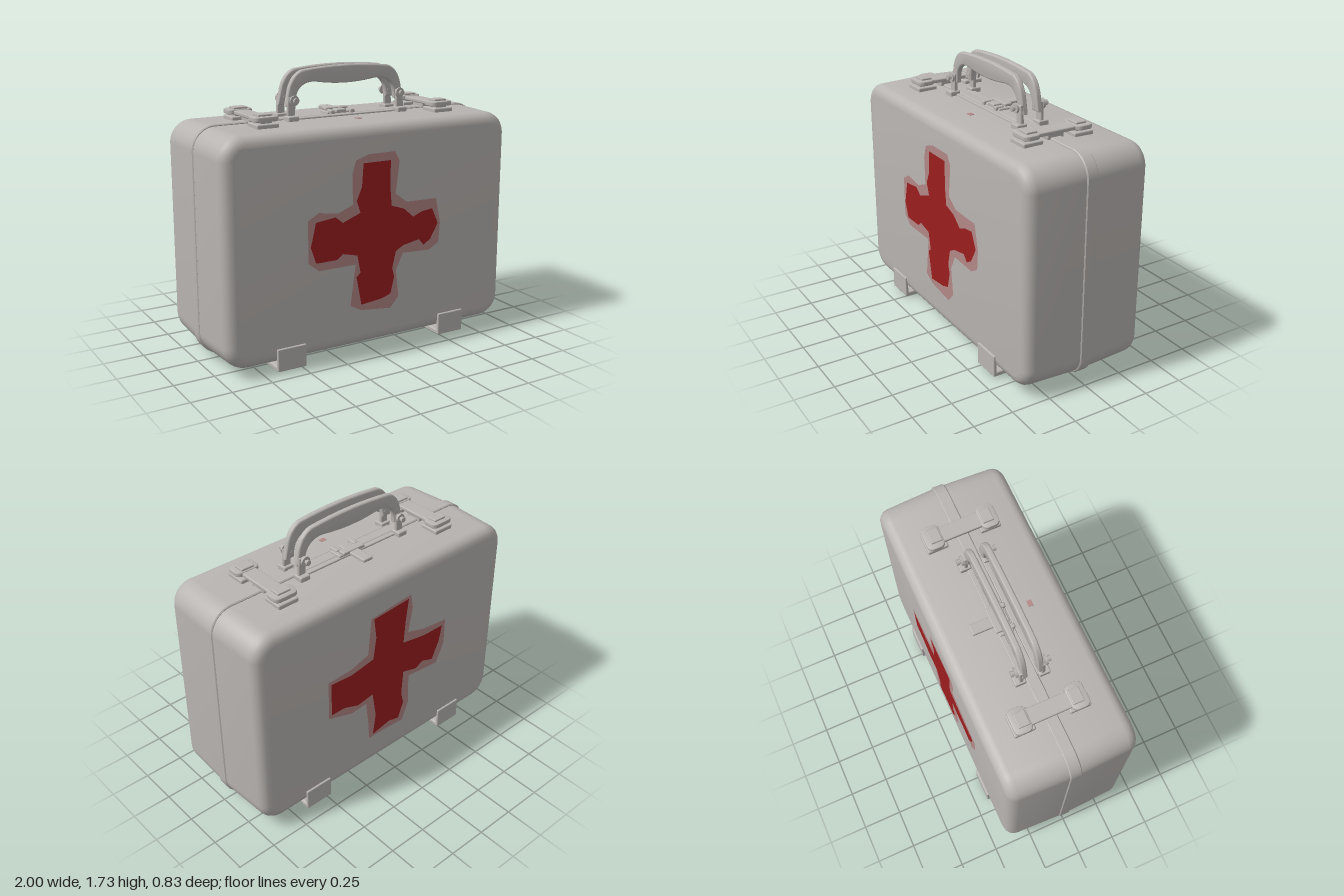
import * as THREE from 'three';
import { toCreasedNormals } from 'three/addons/utils/BufferGeometryUtils.js';
import { RoundedBoxGeometry } from 'three/addons/geometries/RoundedBoxGeometry.js';

const grey = new THREE.MeshStandardMaterial({ color: 0xb8b4b1 });
grey.name = 'grey paint';
const red = new THREE.MeshStandardMaterial({ color: 0x9c1d1f });
red.name = 'cross red';
const pink = new THREE.MeshStandardMaterial({ color: 0xb28886 });
pink.name = 'faded pink';

function add(parent, name, geo, x = 0, y = 0, z = 0, mat = grey) {
  const mesh = new THREE.Mesh(geo, mat);
  mesh.name = name;
  mesh.position.set(x, y, z);
  parent.add(mesh);
  return mesh;
}

// softly rounded block given by its size
const block = (w, h, d, r = 0.008) => new RoundedBoxGeometry(w, h, d, 2, Math.min(r, w / 3, h / 3, d / 3));

function roundedRect(w, h, r) {
  const s = new THREE.Shape();
  const x = w / 2, y = h / 2, q = Math.PI / 2;
  s.absarc(x - r, y - r, r, 0, q);
  s.absarc(-x + r, y - r, r, q, 2 * q);
  s.absarc(-x + r, -y + r, r, 2 * q, 3 * q);
  s.absarc(x - r, -y + r, r, 3 * q, 4 * q);
  return s;
}

// extrusion centred on z, with a bevel that stays inside the outline
function slab(shape, depth, bevel, bevelSegments = 3, steps = 1) {
  const g = new THREE.ExtrudeGeometry(shape, {
    depth: depth - 2 * bevel, steps, curveSegments: 8, bevelEnabled: true,
    bevelThickness: bevel, bevelSize: bevel, bevelOffset: -bevel, bevelSegments,
  });
  return g.translate(0, 0, -(depth - 2 * bevel) / 2);
}

// worn cross outlines: red paint and the faded edge around it
const frontRed = [[-.09, 1.19], [.1, 1.19], [.1, 1.02], [.11, .91], [.2, .88], [.27, .82], [.33, .845], [.41, .855],
  [.455, .755], [.4, .66], [.35, .63], [.315, .67], [.2, .65], [.145, .62], [.12, .515], [.135, .46], [.11, .355],
  [.05, .335], [-.1, .32], [-.135, .5], [-.107, .525], [-.13, .635], [-.23, .66], [-.27, .63], [-.41, .63],
  [-.445, .73], [-.41, .875], [-.28, .89], [-.23, .85], [-.11, .895], [-.135, .97], [-.1, 1.05]];
const frontFade = [[-.14, 1.21], [-.05, 1.24], [.13, 1.24], [.165, 1.18], [.14, .98], [.22, .92], [.44, .915],
  [.475, .755], [.465, .63], [.395, .59], [.2, .6], [.15, .5], [.17, .325], [.11, .26], [-.1, .285], [-.175, .325],
  [-.14, .58], [-.39, .58], [-.46, .635], [-.46, .89], [-.39, .93], [-.26, .91], [-.16, .95], [-.165, 1.13]];
const backRed = [[-.13, 1.19], [.15, 1.21], [.13, 1.05], [.12, .9], [.3, .87], [.46, .87], [.44, .76], [.385, .64],
  [.3, .67], [.24, .64], [.13, .67], [.12, .5], [.14, .42], [.1, .31], [.02, .33], [-.12, .3], [-.1, .45],
  [-.13, .63], [-.25, .61], [-.36, .65], [-.46, .65], [-.46, .88], [-.3, .87], [-.13, .9], [-.11, 1.05]];
const backFade = [[-.15, 1.2], [.17, 1.23], [.19, 1.13], [.16, .96], [.3, .92], [.49, .9], [.49, .72], [.43, .59],
  [.3, .6], [.18, .61], [.19, .4], [.14, .27], [-.02, .28], [-.15, .28], [-.16, .42], [-.18, .58], [-.3, .57],
  [-.48, .63], [-.48, .9], [-.3, .91], [-.17, .95], [-.16, 1.08]];
const flat = pts => new THREE.ShapeGeometry(new THREE.Shape(pts.map(p => new THREE.Vector2(...p))));

function buildCase(group) {
  // body: rounded block tapering slightly away from the seam
  const geo = slab(roundedRect(1.99, 1.37, 0.14), 0.81, 0.065, 4, 2);
  const p = geo.attributes.position;
  for (let i = 0; i < p.count; i++) {
    const k = 1 - 0.035 * Math.abs(p.getZ(i));
    p.setXY(i, p.getX(i) * k, p.getY(i) * k);
  }
  add(group, 'caseBody', toCreasedNormals(geo, 0.6), 0, 0.735, 0);
  // raised seam where the two shells meet
  add(group, 'seamBand', toCreasedNormals(slab(roundedRect(2, 1.39, 0.145), 0.075, 0.006, 1), 0.5), 0, 0.735, 0);

  [['front', frontRed, frontFade, 0], ['back', backRed, backFade, Math.PI]].forEach(([side, a, b, turn]) => {
    const cross = new THREE.Group();
    cross.name = side + 'Cross';
    cross.rotation.y = turn;
    add(cross, 'fadedEdge', flat(b), 0, 0, 0.408, pink);
    add(cross, 'redCross', flat(a), 0, 0, 0.411, red);
    group.add(cross);
  });
  // stray paint spot on top
  add(group, 'paintSpot', new THREE.BoxGeometry(0.04, 0.004, 0.03), 0.015, 1.416, 0.18, pink);
}

// strap foot wrapping under the case
function buildFoot(x) {
  const foot = new THREE.Group();
  foot.name = 'foot';
  foot.position.x = x;
  add(foot, 'footPlate', block(0.18, 0.028, 0.8), 0, 0.026, 0);
  add(foot, 'footCentre', block(0.16, 0.06, 0.15), 0, 0.03, 0);
  for (const s of [-1, 1]) {
    add(foot, 'footClip', block(0.19, 0.14, 0.02), 0, 0.08, s * 0.407);
    add(foot, 'footStep', block(0.19, 0.03, 0.22), 0, 0.023, s * 0.3);
  }
  return foot;
}

// latch bridging the seam
function buildLatch(x) {
  const latch = new THREE.Group();
  latch.name = 'latch';
  latch.position.x = x;
  add(latch, 'latchBar', block(0.1, 0.025, 0.28), 0, 1.462, 0);
  add(latch, 'latchHinge', block(0.07, 0.05, 0.11), 0, 1.44, 0);
  for (const s of [-1, 1]) {
    add(latch, 'latchBase', block(0.14, 0.035, 0.13), 0, 1.422, s * 0.17);
    add(latch, 'latchPost', block(0.08, 0.03, 0.08), 0, 1.446, s * 0.17);
    const pad = slab(roundedRect(0.16, 0.11, 0.035), 0.03, 0.008, 2).rotateX(-Math.PI / 2);
    add(latch, 'latchPad', toCreasedNormals(pad, 0.6), 0, 1.465, s * 0.175);
    add(latch, 'latchCap', block(0.09, 0.016, 0.07), 0, 1.484, s * 0.165);
  }
  return latch;
}

// arched grip with its legs, pivots and mounts
function buildHandle(side) {
  const handle = new THREE.Group();
  handle.name = side > 0 ? 'frontHandle' : 'backHandle';
  const s = new THREE.Shape();
  s.moveTo(-0.415, 1.5);
  s.lineTo(-0.395, 1.6);
  s.quadraticCurveTo(-0.37, 1.69, -0.3, 1.712);
  s.quadraticCurveTo(0, 1.748, 0.3, 1.712);
  s.quadraticCurveTo(0.37, 1.69, 0.395, 1.6);
  s.lineTo(0.415, 1.5);
  s.lineTo(0.35, 1.5);
  s.quadraticCurveTo(0.35, 1.58, 0.31, 1.612);
  s.quadraticCurveTo(0.27, 1.645, 0.2, 1.635);
  s.quadraticCurveTo(0, 1.602, -0.2, 1.635);
  s.quadraticCurveTo(-0.27, 1.645, -0.31, 1.612);
  s.quadraticCurveTo(-0.35, 1.58, -0.35, 1.5);
  add(handle, 'grip', toCreasedNormals(slab(s, 0.036, 0.01, 3), 0.7), 0, 0, side * 0.05);
  for (const m of [-1, 1]) {
    const leg = new THREE.Shape([[0.355, 1.555], [0.405, 1.555], [0.412, 1.42], [0.36, 1.42]]
      .map(([x, y]) => new THREE.Vector2(m * x, y)));
    add(handle, 'handleLeg', slab(leg, 0.022, 0.004, 1), 0, 0, side * 0.068);
    const pin = new THREE.CylinderGeometry(0.012, 0.012, 0.09, 10).rotateX(Math.PI / 2);
    add(handle, 'pivotPin', pin, m * 0.372, 1.537, side * 0.075);
    const washer = new THREE.CylinderGeometry(0.03, 0.03, 0.014, 14).rotateX(Math.PI / 2);
    add(handle, 'pivotWasher', washer, m * 0.372, 1.537, side * 0.092);
    add(handle, 'pivotNut', new THREE.CylinderGeometry(0.018, 0.018, 0.016, 6).rotateX(Math.PI / 2),
      m * 0.372, 1.537, side * 0.115);
    add(handle, 'handleMount', block(0.07, 0.035, 0.07), m * 0.385, 1.43, side * 0.075);
  }
  add(handle, 'mountRail', block(0.8, 0.018, 0.035), 0, 1.42, side * 0.052);
  return handle;
}

// small lock between the handles
function buildLock() {
  const lock = new THREE.Group();
  lock.name = 'centreLock';
  add(lock, 'lockPlate', block(0.2, 0.025, 0.09), -0.01, 1.43, -0.02);
  add(lock, 'lockHasp', block(0.07, 0.022, 0.23), -0.01, 1.442, -0.09);
  add(lock, 'lockBar', block(0.16, 0.02, 0.05), -0.01, 1.45, -0.055);
  for (const m of [-1, 1]) add(lock, 'lockLug', block(0.03, 0.035, 0.06), -0.01 + m * 0.07, 1.435, 0.01);
  return lock;
}

export function createModel() {
  const group = new THREE.Group();
  group.name = 'firstAidCase';
  buildCase(group);
  group.add(buildFoot(-0.575), buildFoot(0.57));
  group.add(buildLatch(-0.615), buildLatch(0.61));
  group.add(buildHandle(1), buildHandle(-1), buildLock());
  return group;
}
